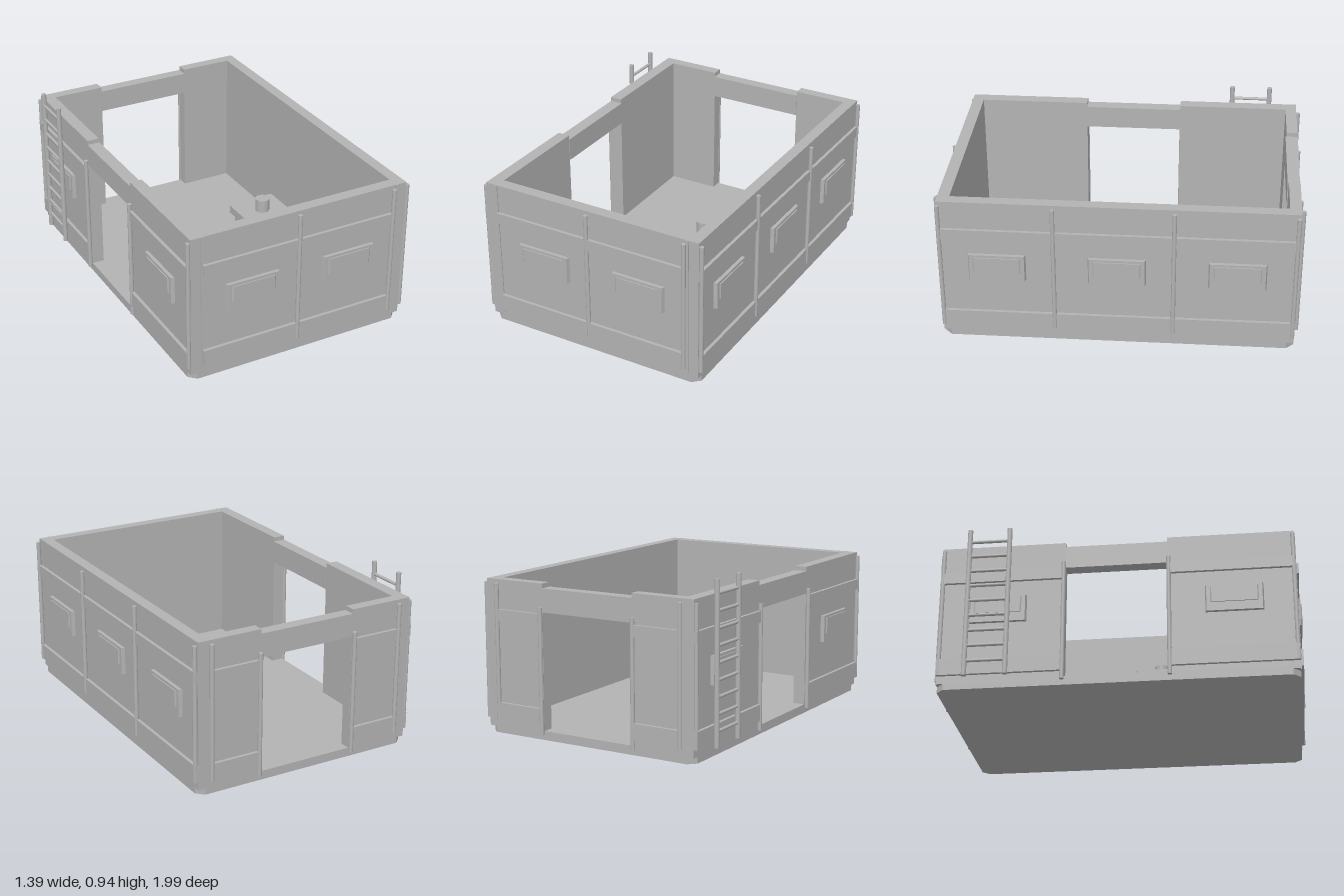
import * as THREE from 'three';

export function createModel() {
  const model = new THREE.Group();
  const grey = new THREE.MeshStandardMaterial({ color: 0xb3b3b3 });
  grey.name = 'panelGrey';

  // Outer faces and inner faces of the shell
  const L = -0.64, R = 0.664, B = -0.975, F = 0.968;
  const iL = -0.57, iR = 0.6, iB = -0.912, iF = 0.902;
  const low = 0.035, floorTop = 0.05, top = 0.855;

  function add(parent, name, geometry, x = 0, y = 0, z = 0) {
    const mesh = new THREE.Mesh(geometry, grey);
    mesh.name = name;
    mesh.position.set(x, y, z);
    parent.add(mesh);
    return mesh;
  }
  function box(parent, name, x0, x1, y0, y1, z0, z1) {
    return add(parent, name, new THREE.BoxGeometry(x1 - x0, y1 - y0, z1 - z0),
      (x0 + x1) / 2, (y0 + y1) / 2, (z0 + z1) / 2);
  }
  function post(parent, name, x, z, y0, y1, r = 0.012) {
    return add(parent, name, new THREE.CylinderGeometry(r, r, y1 - y0, 16), x, (y0 + y1) / 2, z);
  }
  // Flat outline in x and z, raised from y0 to y1
  function slab(parent, name, points, y0, y1) {
    const shape = new THREE.Shape(points.map(([x, z]) => new THREE.Vector2(x, -z)));
    const g = new THREE.ExtrudeGeometry(shape, { depth: y1 - y0, bevelEnabled: false });
    g.rotateX(-Math.PI / 2);
    return add(parent, name, g, 0, y0, 0);
  }
  function cutCorners(x0, x1, z0, z1, c) {
    return [[x0 + c, z1], [x1 - c, z1], [x1, z1 - c], [x1, z0 + c],
      [x1 - c, z0], [x0 + c, z0], [x0, z0 + c], [x0, z1 - c]];
  }

  // Base with cut corners and the floor on it
  slab(model, 'base', cutCorners(L, R, B, F, 0.04), 0, low);
  box(model, 'floor', L, R, low, floorTop, B, F);

  // Walls, with a doorway in the back and in the right side
  const backDoor = [-0.27, 0.295], sideDoor = [-0.285, 0.275];
  const lintelLow = 0.7, lintelTop = 0.83;
  box(model, 'frontWall', L, R, floorTop, top, iF, F);
  box(model, 'leftWall', iR, R, floorTop, top, B, iF);
  box(model, 'rightWallRear', L, iL, floorTop, top, B, sideDoor[0]);
  box(model, 'rightWallFront', L, iL, floorTop, top, sideDoor[1], iF);
  box(model, 'sideLintel', L, iL + 0.003, lintelLow, lintelTop, ...sideDoor);
  box(model, 'backWallRight', iL, backDoor[0], floorTop, top, B, iB);
  box(model, 'backWallLeft', backDoor[1], iR, floorTop, top, B, iB);
  box(model, 'backLintel', ...backDoor, lintelLow, lintelTop, B, iB + 0.005);

  // Each face has a frame with local z pointing outward
  function face(name, x, z, turn) {
    const g = new THREE.Group();
    g.name = name;
    g.position.set(x, 0, z);
    g.rotation.y = turn;
    model.add(g);
    return g;
  }
  function bands(parent, u0, u1) {
    box(parent, 'upperBand', u0, u1, 0.63, 0.693, -0.005, 0.018);
    box(parent, 'lowerBand', u0, u1, 0.08, 0.175, -0.005, 0.018);
  }
  // Box whose outer face is narrower than its inner face
  function taperedPlate(parent, name, u, y, w, h, d, z) {
    const g = new THREE.BoxGeometry(w, h, d);
    const p = g.attributes.position;
    for (let i = 0; i < p.count; i++) {
      if (p.getZ(i) > 0) p.setX(i, p.getX(i) - Math.sign(p.getX(i)) * 0.007);
    }
    g.computeVertexNormals();
    add(parent, name, g, u, y, z + d / 2);
  }
  function shutter(parent, u) {
    taperedPlate(parent, 'shutterFrame', u, 0.462, 0.315, 0.155, 0.02, 0);
    taperedPlate(parent, 'shutterPlate', u, 0.48, 0.26, 0.09, 0.006, 0.02);
  }

  // Front
  const front = face('frontDetails', 0, F, 0);
  bands(front, iL, 0.575);
  for (const u of [-0.278, 0.307]) shutter(front, u);
  for (const u of [-0.002, 0.582]) post(front, 'frontPost', u, 0.012, 0.08, 0.835);
  for (const u of [-0.574, 0.6]) box(front, 'seamStrip', u - 0.006, u + 0.006, 0.055, top, -0.005, 0.006);

  // Left side (+x)
  const left = face('leftDetails', R, 0, Math.PI / 2);
  bands(left, -F, -B);
  for (const u of [-0.652, 0, 0.652]) shutter(left, u);
  for (const u of [-0.343, 0.308]) post(left, 'leftPost', u, 0.013, 0.08, 0.835);

  // Right side (-x)
  const right = face('rightDetails', L, 0, -Math.PI / 2);
  bands(right, B, sideDoor[0]);
  bands(right, sideDoor[1], F);
  for (const u of [-0.65, 0.635]) shutter(right, u);
  for (const u of [-0.292, 0.283]) post(right, 'sideDoorPost', u, 0.012, 0.03, 0.73);

  // Back
  const back = face('backDetails', 0, B, Math.PI);
  bands(back, -iR, -backDoor[1]);
  bands(back, -backDoor[0], -iL);
  for (const u of [-0.303, 0.28]) post(back, 'backDoorPost', u, 0.012, 0.03, 0.73);
  for (const u of [-0.59, 0.565]) post(back, 'backPost', u, 0.012, 0.08, 0.835);

  // Corner posts
  for (const x of [L - 0.008, R + 0.012]) {
    for (const z of [B + 0.012, F - 0.008]) post(model, 'cornerPost', x, z, 0.08, 0.835);
  }

  // Ladder on the right side
  const ladder = new THREE.Group();
  ladder.name = 'ladder';
  model.add(ladder);
  const lx = -0.682, lz = [-0.815, -0.593];
  for (const z of lz) post(ladder, 'ladderRail', lx, z, 0.06, 0.94, 0.014);
  for (let i = 0; i < 9; i++) {
    const rung = add(ladder, 'ladderRung',
      new THREE.CylinderGeometry(0.009, 0.009, lz[1] - lz[0], 12), lx, 0.866 - i * 0.09, (lz[0] + lz[1]) / 2);
    rung.rotation.x = Math.PI / 2;
  }

  // Table with three canisters
  const table = new THREE.Group();
  table.name = 'table';
  model.add(table);
  box(table, 'tableBase', 0.13, 0.365, floorTop, 0.355, 0.05, 0.57);
  slab(table, 'tableTop', cutCorners(0.105, 0.39, 0.02, 0.598, 0.012), 0.355, 0.4);
  for (const z of [0.163, 0.342, 0.46]) post(table, 'canister', 0.248, z, 0.4, 0.475, 0.041);

  return model;
}
